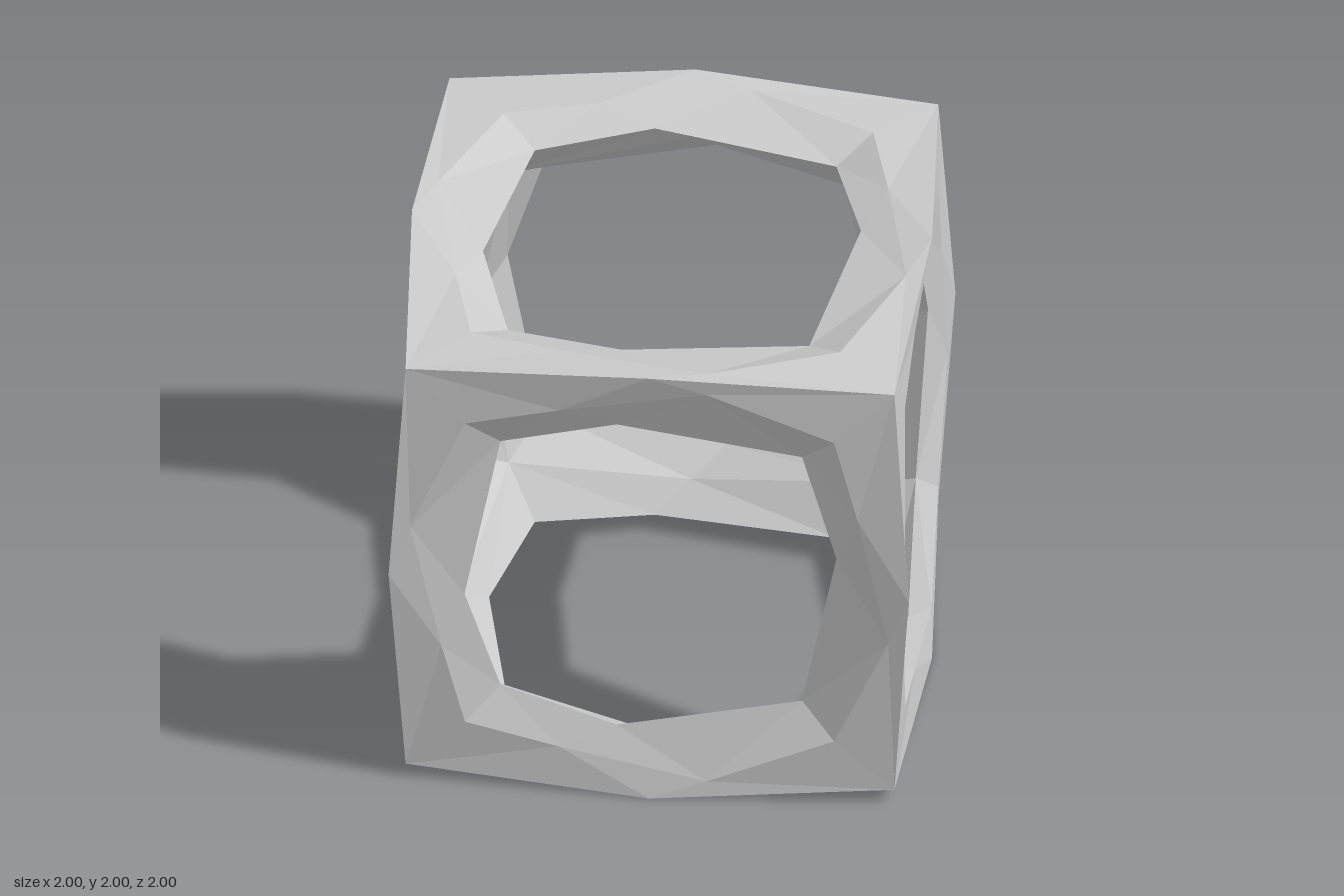
import * as THREE from 'three';

// One side of a window frame: [along, outward, depth] points in rings,
// from the outer ridge (O) over the face (F) to the hole rim (H) and inner ridge (I).
const P = {
  O0: [-0.94, 0.94, 0.94], O1: [0, 1, 1], O2: [0.94, 0.94, 0.94],
  F0: [-0.71, 0.71, 0.96], Fa: [-0.35, 0.8, 0.965], Fb: [0.22, 0.92, 0.978], F3: [0.71, 0.71, 0.96],
  H0: [-0.58, 0.58, 0.885], Hm: [-0.13, 0.715, 0.92], H3: [0.58, 0.58, 0.885],
  I0: [-0.69, 0.69, 0.69], Im: [0, 0.815, 0.815], I3: [0.69, 0.69, 0.69],
};

const FACETS = [
  'O0 F0 Fa', 'O0 Fa O1', 'O1 Fa Fb', 'O1 Fb O2', 'Fb F3 O2', // outer band
  'F0 H0 Fa', 'H0 Hm Fa', 'Fa Hm Fb', 'Hm H3 Fb', 'Fb H3 F3', // bevel to the hole
  'H0 I0 Hm', 'I0 Im Hm', 'Hm Im H3', 'Im I3 H3',             // inward strip
].map((f) => f.split(' '));

// Four sides around one hole; the bottom side is mirrored
function windowFrame() {
  const pos = [];
  for (let side = 0; side < 4; side++) {
    const a = -side * Math.PI / 2, c = Math.cos(a), s = Math.sin(a);
    const mirror = side === 2 ? -1 : 1;
    for (const facet of FACETS) {
      const order = mirror < 0 ? [...facet].reverse() : facet;
      for (const key of order) {
        const [t, r, d] = P[key];
        pos.push(t * mirror * c - r * s, t * mirror * s + r * c, d);
      }
    }
  }
  const g = new THREE.BufferGeometry();
  g.setAttribute('position', new THREE.Float32BufferAttribute(pos, 3));
  g.computeVertexNormals();
  return g;
}

export function createModel() {
  const group = new THREE.Group();
  group.name = 'cubeFrame';
  const material = new THREE.MeshStandardMaterial({ color: 0xcccccc, flatShading: true });
  const geometry = windowFrame();
  const h = Math.PI / 2;
  // The same window frame turned to each side of the cube
  const faces = [
    ['frontFrame', 0, 0], ['leftFrame', 0, h], ['backFrame', 0, 2 * h],
    ['rightFrame', 0, -h], ['topFrame', -h, 0], ['bottomFrame', h, 0],
  ];
  for (const [name, rx, ry] of faces) {
    const mesh = new THREE.Mesh(geometry, material);
    mesh.name = name;
    mesh.rotation.set(rx, ry, 0);
    mesh.position.y = 1;
    group.add(mesh);
  }
  return group;
}
